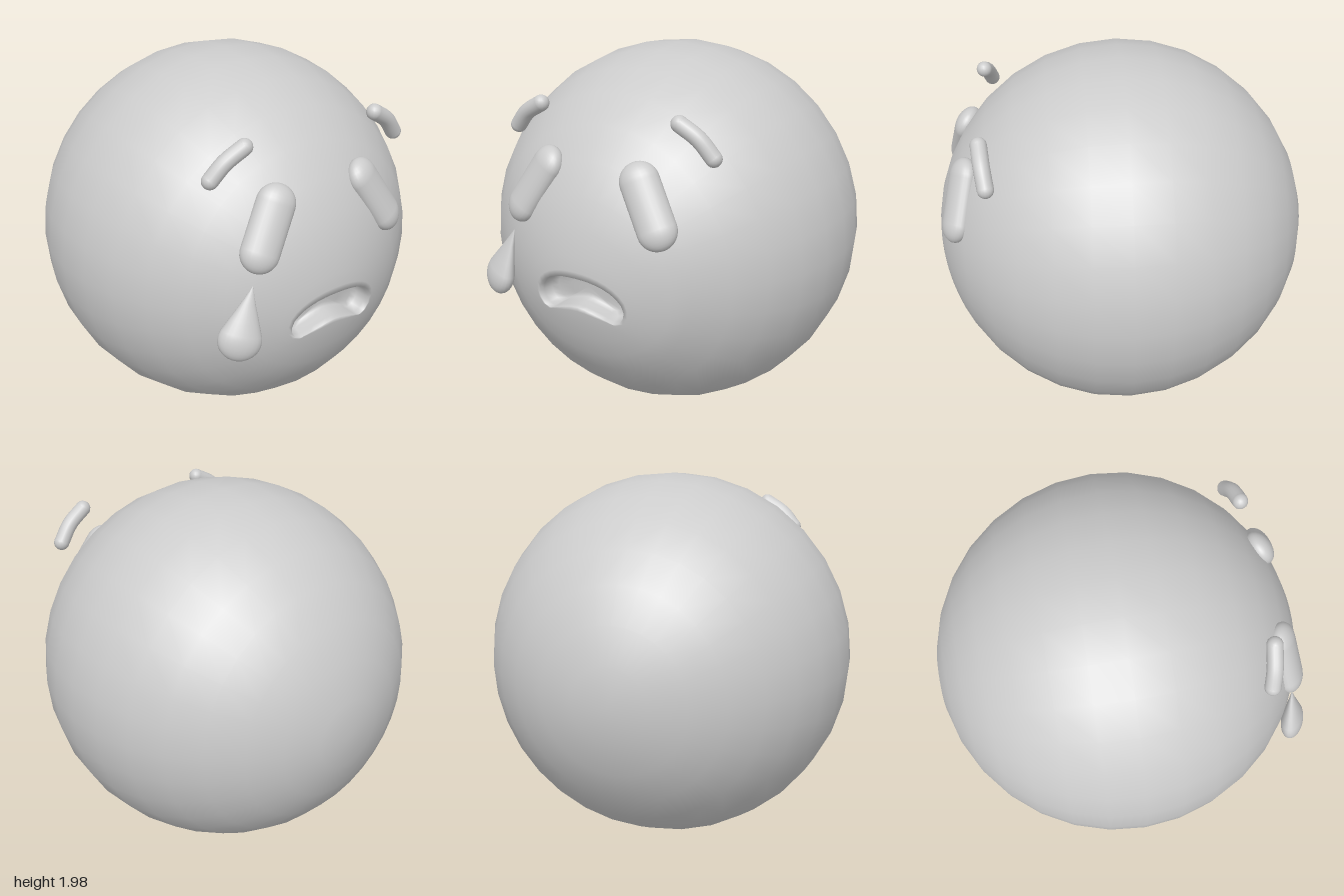
import * as THREE from 'three';
import { mergeVertices } from 'three/addons/utils/BufferGeometryUtils.js';

const R = 0.99, CY = 1, CZ = -0.012, SEG = 32;
const material = new THREE.MeshStandardMaterial({ color: 0xcccccc });
const V = (x, y, z = 0) => new THREE.Vector3(x, y, z);

// Point on the front of the ball above the given x, y
const onBall = (x, y) => V(x, y, CZ + Math.sqrt(R * R - x * x - (y - CY) ** 2));

function addMesh(parent, name, geometry) {
  const mesh = new THREE.Mesh(geometry, material);
  mesh.name = name;
  parent.add(mesh);
  return mesh;
}

// Turns a mesh so its y axis follows `axis` and its z axis leans along the ball's normal
function layOnBall(mesh, centre, axis) {
  const y = axis.clone().normalize();
  const x = y.clone().cross(centre.clone().sub(V(0, CY, CZ))).normalize();
  const z = x.clone().cross(y);
  mesh.quaternion.setFromRotationMatrix(new THREE.Matrix4().makeBasis(x, y, z));
  mesh.position.copy(centre);
}

// Ball skin made of loops running from the mouth floor, over the lip, to the back
function ballGeometry() {
  const half = [[0.11, 1.0], [0.19, 0.965], [0.24, 0.91], [0.245, 0.84], [0.2, 0.795], [0.12, 0.825]];
  const outline = [
    V(0, 1.012), ...half.map(([x, y]) => V(-x, y)),
    V(0, 0.855), ...half.slice().reverse().map(([x, y]) => V(x, y)),
  ];
  const lip = new THREE.CatmullRomCurve3(outline, true).getSpacedPoints(SEG).slice(0, SEG);
  const centre = V(0, 0.925);
  const circle = (theta) => lip.map((_, j) => {
    const a = (j / SEG) * Math.PI * 2, r = R * Math.sin(theta);
    return V(-r * Math.sin(a), CY + r * Math.cos(a), CZ + R * Math.cos(theta));
  });

  const rings = [];
  // Mouth floor and walls: [scale, depth]
  for (const [s, depth] of [[0, 0.11], [0.45, 0.11], [0.8, 0.105], [0.92, 0.08], [0.97, 0.03]]) {
    rings.push(lip.map((p) => {
      const q = centre.clone().lerp(p, s);
      const out = onBall(q.x, q.y);
      out.z -= depth;
      return out;
    }));
  }
  // Lip blending into a circle
  const first = circle((3 * Math.PI) / 16);
  for (const t of [0, 0.06, 0.2, 0.45, 0.72]) {
    rings.push(lip.map((p, j) => onBall(
      THREE.MathUtils.lerp(p.x, first[j].x, t), THREE.MathUtils.lerp(p.y, first[j].y, t))));
  }
  // Rest of the ball
  for (let i = 3; i <= 16; i++) rings.push(circle((i * Math.PI) / 16));

  const index = [];
  for (let i = 0; i < rings.length - 1; i++) {
    for (let j = 0; j < SEG; j++) {
      const k = (j + 1) % SEG;
      const a = i * SEG + j, b = i * SEG + k, c = a + SEG, d = b + SEG;
      index.push(a, c, b, b, c, d);
    }
  }
  let geometry = new THREE.BufferGeometry().setFromPoints(rings.flat());
  geometry.setIndex(index);
  geometry = mergeVertices(geometry, 1e-5);
  geometry.computeVertexNormals();
  return geometry;
}

// Bent rod with round ends
function makeBrow(name, points) {
  const brow = new THREE.Group();
  brow.name = name;
  const r = 0.041;
  addMesh(brow, 'browRod', new THREE.TubeGeometry(new THREE.CatmullRomCurve3(points), 14, r, 16));
  for (const p of [points[0], points[points.length - 1]]) {
    addMesh(brow, 'browEnd', new THREE.SphereGeometry(r, 16, 12)).position.copy(p);
  }
  return brow;
}

export function createModel() {
  const model = new THREE.Group();
  model.name = 'sadFaceBall';
  addMesh(model, 'head', ballGeometry());

  // Slanted, flattened capsule eyes
  for (const side of [-1, 1]) {
    const top = onBall(side * 0.265, 1.495), bottom = onBall(side * 0.387, 1.29);
    const axis = top.clone().sub(bottom);
    const eye = addMesh(model, side > 0 ? 'leftEye' : 'rightEye',
      new THREE.CapsuleGeometry(0.097, axis.length(), 8, 24));
    layOnBall(eye, top.clone().add(bottom).multiplyScalar(0.5), axis);
    eye.scale.z = 0.65;
  }

  // Eyebrows, standing slightly off the head
  model.add(makeBrow('rightBrow', [V(-0.54, 1.628, 0.67), V(-0.47, 1.705, 0.685), V(-0.37, 1.765, 0.697)]));
  model.add(makeBrow('leftBrow', [V(0.415, 1.765, 0.697), V(0.51, 1.703, 0.685), V(0.58, 1.618, 0.67)]));

  // Tear drop: round bulb tapering to a point
  const bulb = V(-0.53, 0.89, 0.9), tip = V(-0.44, 1.145, 0.875);
  const axis = tip.clone().sub(bulb);
  const profile = [];
  for (let i = 0; i <= 9; i++) {
    const a = -Math.PI / 2 + (i / 9) * (Math.PI / 2 + 0.35);
    profile.push(new THREE.Vector2(0.108 * Math.cos(a), 0.102 * Math.sin(a)));
  }
  profile.push(new THREE.Vector2(0.075, 0.095), new THREE.Vector2(0.035, 0.185), new THREE.Vector2(0, axis.length()));
  const tear = addMesh(model, 'tear', new THREE.LatheGeometry(profile, 24));
  layOnBall(tear, bulb, axis);
  tear.scale.z = 0.55;

  return model;
}
